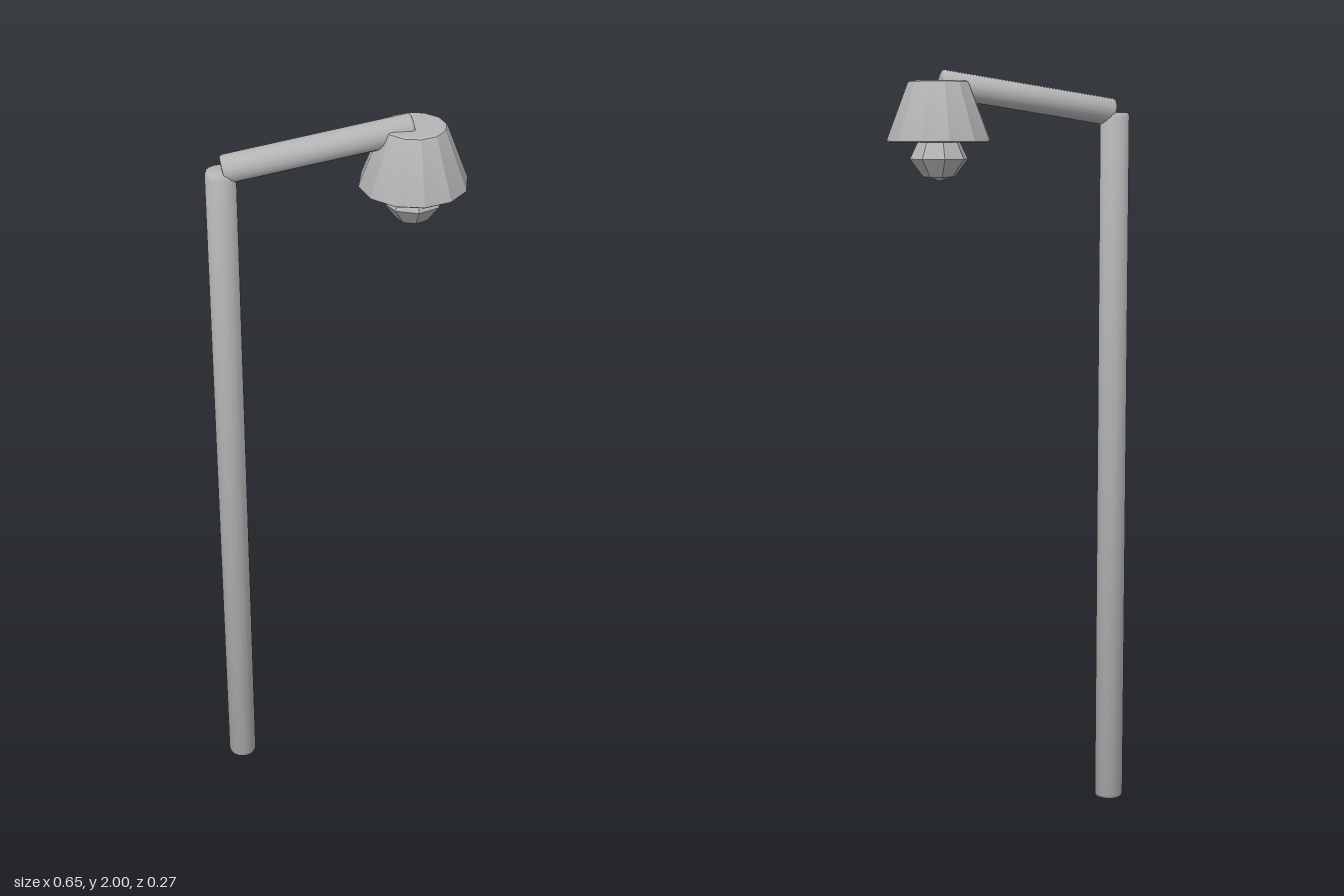
import * as THREE from 'three';
import { toCreasedNormals } from 'three/addons/utils/BufferGeometryUtils.js';

export function createModel() {
  const group = new THREE.Group();
  const grey = new THREE.MeshStandardMaterial({ color: 0xb4b4b4 });
  grey.name = 'grey metal';

  // Turned part from a bottom-to-top [radius, y] profile
  function turned(name, profile, sides, crease) {
    const points = profile.map(([r, y]) => new THREE.Vector2(r, y));
    const geometry = toCreasedNormals(new THREE.LatheGeometry(points, sides), crease);
    const mesh = new THREE.Mesh(geometry, grey);
    mesh.name = name;
    group.add(mesh);
    return mesh;
  }

  // Round bar with slightly rounded rims
  function bar(name, radius, length, bevel) {
    const b = bevel;
    return turned(name, [
      [0, 0], [radius - b, 0], [radius - b * 0.3, b * 0.3], [radius, b],
      [radius, length - b], [radius - b * 0.3, length - b * 0.3], [radius - b, length], [0, length],
    ], 16, 0.85);
  }

  // Upright pole
  bar('pole', 0.039, 1.89, 0.009).position.x = -0.287;

  // Arm rising gently from the pole to the lamp
  const start = new THREE.Vector3(-0.284, 1.89, 0);
  const end = new THREE.Vector3(0.184, 1.964, 0);
  const direction = end.clone().sub(start);
  const arm = bar('arm', 0.036, direction.length(), 0.008);
  arm.position.copy(start);
  arm.quaternion.setFromUnitVectors(new THREE.Vector3(0, 1, 0), direction.normalize());

  // Faceted lamp shade, closed underneath
  turned('lampShade', [
    [0, 1.813], [0.133, 1.813], [0.137, 1.816], [0.136, 1.822],
    [0.083, 1.96], [0.079, 1.967], [0.072, 1.97], [0, 1.97],
  ], 12, 0.4).position.x = 0.187;

  // Faceted bulb below the shade
  turned('bulb', [
    [0, 1.713], [0.042, 1.724], [0.077, 1.77], [0.055, 1.816], [0, 1.828],
  ], 8, 0.1).position.x = 0.187;

  return group;
}
